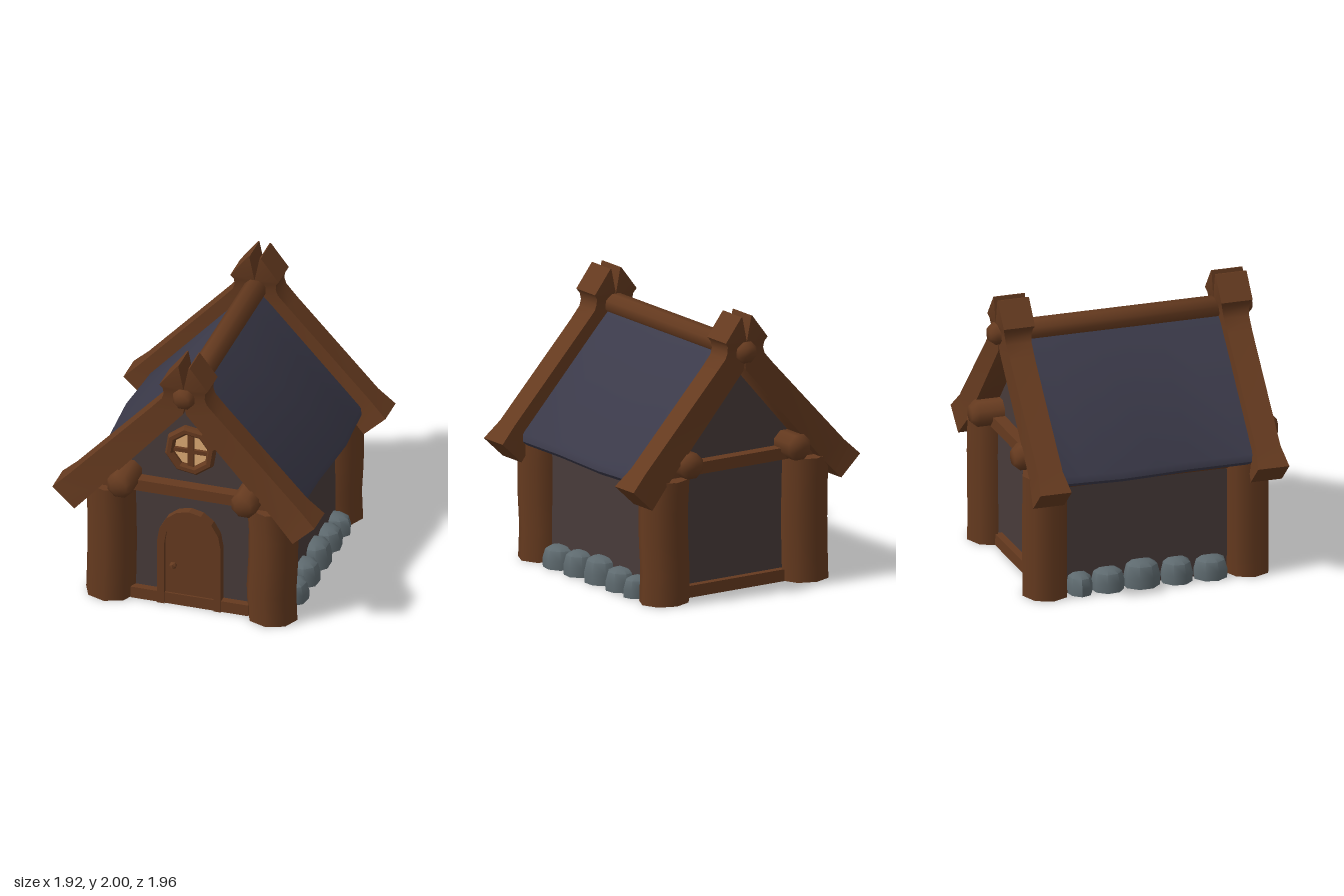
import * as THREE from 'three';
import { toCreasedNormals } from 'three/addons/utils/BufferGeometryUtils.js';

function mat(name, color, side = THREE.FrontSide) {
  const m = new THREE.MeshStandardMaterial({ color, side });
  m.name = name;
  return m;
}

// Skin a list of equal-length rings (counter-clockwise about the travel direction) and cap both ends
function loft(rings, crease) {
  const n = rings[0].length, pos = rings.flat(2), idx = [];
  for (let i = 0; i < rings.length - 1; i++)
    for (let j = 0; j < n; j++) {
      const a = i * n + j, b = i * n + (j + 1) % n;
      idx.push(a, b, b + n, a, b + n, a + n);
    }
  const last = (rings.length - 1) * n;
  for (let j = 1; j < n - 1; j++) idx.push(0, j + 1, j, last, last + j, last + j + 1);
  const g = new THREE.BufferGeometry();
  g.setAttribute('position', new THREE.Float32BufferAttribute(pos, 3));
  g.setIndex(idx);
  return toCreasedNormals(g, crease);
}

export function createModel() {
  const group = new THREE.Group();
  const wood = mat('brown wood', 0x653a1f, THREE.DoubleSide);
  const plaster = mat('dark plaster', 0x483b3a, THREE.DoubleSide);
  const slate = mat('blue slate', 0x3c3b4b);
  const stone = mat('grey stone', 0x5e6a6f, THREE.DoubleSide);
  const glow = mat('window glow', 0xdcaa74);

  const add = (name, geo, material, x = 0, y = 0, z = 0) => {
    const m = new THREE.Mesh(geo, material);
    m.name = name;
    m.position.set(x, y, z);
    group.add(m);
    return m;
  };
  const box = (name, w, h, d, x, y, z) => add(name, new THREE.BoxGeometry(w, h, d), wood, x, y, z);
  const extrude = (shape, depth) =>
    new THREE.ExtrudeGeometry(shape, { depth, bevelEnabled: false, curveSegments: 4 });

  // Walls, open underneath
  const gable = new THREE.Shape([[-0.62, 0], [0.62, 0], [0.62, 1.0], [0, 1.68], [-0.62, 1.0]]
    .map(p => new THREE.Vector2(...p)));
  add('frontWall', new THREE.ShapeGeometry(gable), plaster, 0, 0, 0.72);
  add('backWall', new THREE.ShapeGeometry(gable).rotateY(Math.PI), plaster, 0, 0, -0.73);
  for (const s of [-1, 1])
    add('sideWall', new THREE.PlaneGeometry(1.45, 0.98).rotateY(s * Math.PI / 2), plaster, s * 0.62, 0.49, -0.005);

  // Roof with gently waving eaves
  const roofRings = [[-0.725, 0], [-0.55, 0.01], [-0.27, 0.03], [0, 0.015], [0.25, 0], [0.715, 0]].map(([z, w]) => {
    const half = [[0.772 + w, 0.915], [0.78 + w, 0.865], [0.75 + w, 0.836]];
    return [[0, 1.75, z], ...half.map(([x, y]) => [-x, y, z]), [0, 1.6, z],
      ...half.reverse().map(([x, y]) => [x, y, z])];
  });
  add('roof', loft(roofRings, 0.7), slate);

  // Crossed gable boards with horned tips: outer x, y, inner x, y, half depth
  const board = [
    [0.96, 0.87, 0.80, 0.72, 0.115], [0.84, 0.985, 0.65, 0.88, 0.09],
    [0.245, 1.62, 0.012, 1.605, 0.09], [0.165, 1.71, 0, 1.665, 0.093],
    [0.15, 1.755, 0, 1.73, 0.097], [0.155, 1.80, 0, 1.78, 0.105],
    [0.177, 1.83, 0, 1.815, 0.115], [0.046, 2.0, 0.038, 2.0, 0.115],
  ];
  for (const z of [0.793, -0.812])
    for (const s of [-1, 1]) {
      const rings = board.map(([ox, oy, ix, iy, d]) => {
        const r = [[s * ox, oy, z - d], [s * ix, iy, z - d], [s * ix, iy, z + d], [s * ox, oy, z + d]];
        return s > 0 ? r : r.reverse();
      });
      add('gableBoard', loft(rings, 0.8), wood);
    }

  // Logs running front to back, with softened ends
  function log(name, x, y, r, back, front) {
    const pts = [[0, back], [r * 0.6, back], [r, back + 0.045], [r, front - 0.035], [r * 0.65, front], [0, front]];
    const g = new THREE.LatheGeometry(pts.map(p => new THREE.Vector2(...p)), 8, Math.PI / 8).rotateX(Math.PI / 2);
    add(name, toCreasedNormals(g, 1.1), wood, x, y, 0);
  }
  log('ridgeLog', 0, 1.743, 0.081, -0.98, 0.95);
  for (const s of [-1, 1]) log('purlinLog', s * 0.455, 0.985, 0.097, -0.96, 0.98);

  // Crooked corner posts, wrapped around the outside of each wall corner
  for (const sx of [-1, 1])
    for (const sz of [-1, 1]) {
      const start = sx > 0 ? (sz > 0 ? -Math.PI / 2 : 0) : (sz > 0 ? Math.PI : Math.PI / 2);
      const g = new THREE.CylinderGeometry(0.182, 0.182, 0.89, 6, 4, true, start, Math.PI * 1.5);
      const p = g.attributes.position;
      for (let i = 0; i < p.count; i++) {
        const t = p.getY(i) + 0.445;
        const bend = sx > 0 ? -0.009 * Math.sin(t * 8) : 0.01 * Math.sin(t * 3.5);
        p.setX(i, p.getX(i) + bend);
        p.setZ(i, p.getZ(i) * 0.91);
      }
      const z = sz > 0 ? 0.717 : -0.767;
      add('cornerPost', g, wood, sx * 0.592, 0.445, z);
      const top = new THREE.CircleGeometry(0.182, 8).rotateX(-Math.PI / 2).scale(1, 1, 0.91);
      add('cornerPostTop', top, wood, sx * 0.592, 0.889, z);
    }

  // Horizontal beams
  for (const z of [0.763, -0.773]) {
    box('tieBeam', 1.3, 0.085, 0.09, 0, 0.93, z);
    box('sillBeam', 0.86, 0.085, 0.055, 0, 0.0425, z - Math.sign(z) * 0.015);
  }
  for (const s of [-1, 1])
    box('eaveBeam', 0.125, 0.125, 1.3, s * 0.625, 0.868, -0.02).rotation.z = Math.PI / 4;

  // Arched door, frame and knob
  const arch = (target, w, spring, top) => {
    target.moveTo(w, 0);
    target.lineTo(w, spring);
    target.absellipse(0, spring, w, top - spring, 0, Math.PI, false);
    target.lineTo(-w, 0);
    return target;
  };
  const frame = arch(new THREE.Shape(), 0.233, 0.5, 0.765);
  frame.lineTo(-0.18, 0);
  frame.lineTo(-0.18, 0.49);
  frame.absellipse(0, 0.49, 0.18, 0.215, Math.PI, 0, true);
  frame.lineTo(0.18, 0);
  add('doorFrame', extrude(frame, 0.07), wood, 0, 0, 0.716);
  add('door', extrude(arch(new THREE.Shape(), 0.182, 0.49, 0.707), 0.04), wood, 0, 0, 0.722);
  add('doorKnob', new THREE.IcosahedronGeometry(0.028, 0), wood, -0.115, 0.318, 0.785);

  // Octagonal window with cross bars
  const octagon = (target, r) => target.setFromPoints(Array.from({ length: 8 }, (_, i) => {
    const a = 0.24 + i * Math.PI / 4;
    return new THREE.Vector2(r * Math.cos(a), r * Math.sin(a));
  }));
  const ring = octagon(new THREE.Shape(), 0.174);
  ring.holes.push(octagon(new THREE.Path(), 0.145));
  add('windowFrame', new THREE.ExtrudeGeometry(ring, {
    depth: 0.03, bevelThickness: 0.018, bevelSize: 0.016, bevelSegments: 1 }), wood, 0, 1.24, 0.72);
  add('windowPane', new THREE.ShapeGeometry(octagon(new THREE.Shape(), 0.14)), glow, 0, 1.24, 0.73);
  box('windowBar', 0.045, 0.26, 0.025, 0.003, 1.24, 0.74);
  box('windowBar', 0.26, 0.03, 0.025, 0, 1.235, 0.74);

  // Foundation stones along both sides: z, width, height
  const stones = [[0.432, 0.255, 0.155], [0.182, 0.235, 0.17], [-0.075, 0.27, 0.187], [-0.325, 0.24, 0.158], [-0.533, 0.185, 0.145]];
  for (const s of [-1, 1])
    stones.forEach(([z, w, h], i) => {
      const pts = [[0.97, 0], [1, 0.4], [0.84, 0.84], [0.5, 0.98], [0, 1]].map(p => new THREE.Vector2(...p));
      const g = new THREE.LatheGeometry(pts, 8, 0.2 + i * 0.1).scale(0.12, h, w / 2);
      add('foundationStone', toCreasedNormals(g, 0.9), stone, s * 0.645, 0, z);
    });

  return group;
}
